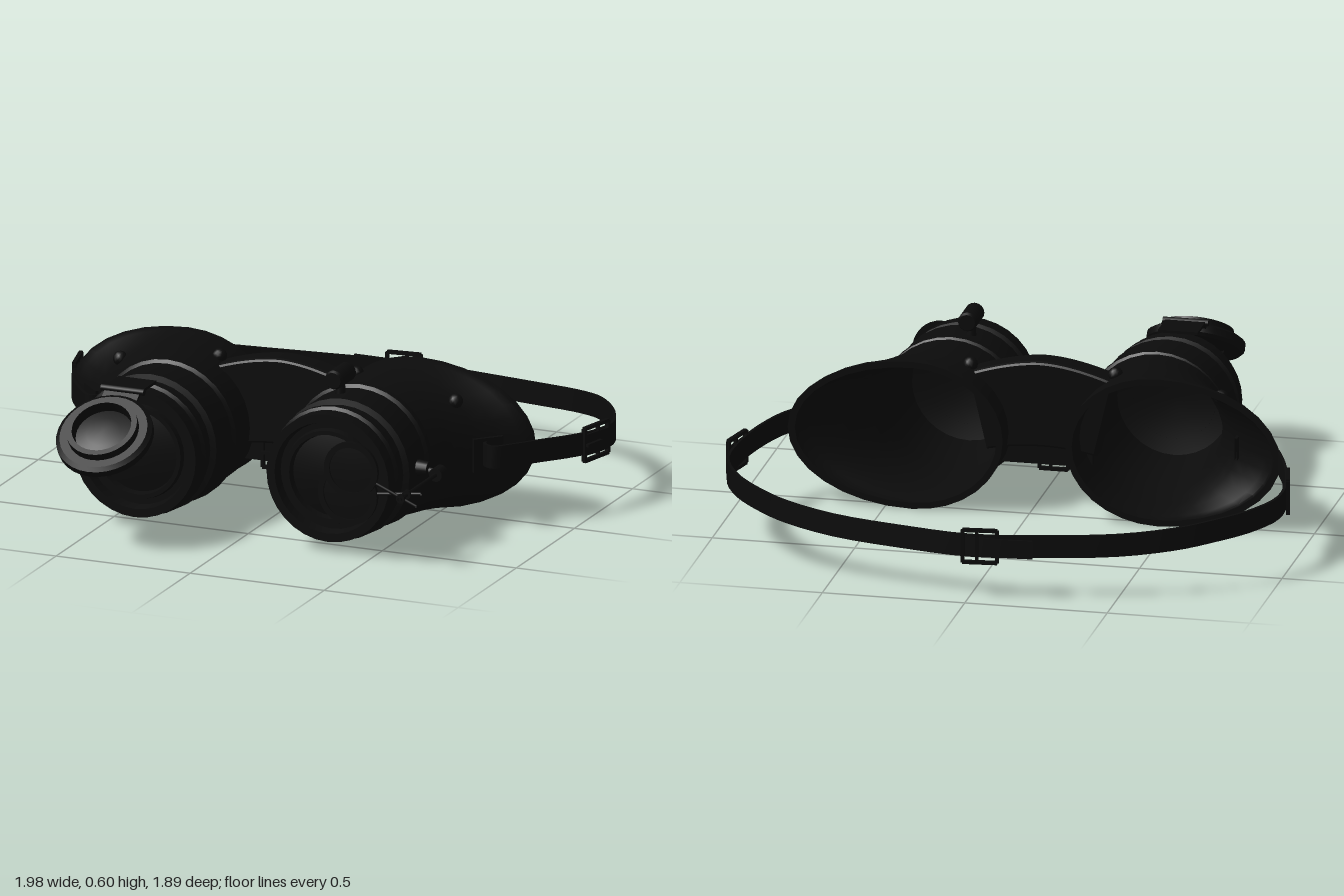
import * as THREE from 'three';
import { toCreasedNormals } from 'three/addons/utils/BufferGeometryUtils.js';

const black = new THREE.MeshStandardMaterial({ color: 0x0b0b0b, side: THREE.DoubleSide });
const V = (x, y, z) => new THREE.Vector3(x, y, z);
const CY = 0.272; // height of the eyepiece axes

function add(parent, name, geometry, x = 0, y = 0, z = 0) {
  const mesh = new THREE.Mesh(geometry, black);
  mesh.name = name;
  mesh.position.set(x, y, z);
  parent.add(mesh);
  return mesh;
}

function group(parent, name, x = 0, y = 0, z = 0) {
  const g = new THREE.Group();
  g.name = name;
  g.position.set(x, y, z);
  parent.add(g);
  return g;
}

// Skin over closed cross-sections, each running anticlockwise about the path
function loft(rings, crease = 0.6) {
  const n = rings[0].length, index = [];
  for (let i = 0; i < rings.length - 1; i++) {
    for (let j = 0; j < n; j++) {
      const k = (j + 1) % n, a = i * n + j, d = i * n + k;
      index.push(a, d, a + n, d, d + n, a + n);
    }
  }
  const g = new THREE.BufferGeometry().setFromPoints(rings.flat());
  g.setIndex(index);
  return toCreasedNormals(g, crease);
}

// Turned part along z from [radius, z] pairs
function turned(profile, sides = 32) {
  const g = new THREE.LatheGeometry(profile.map(([r, z]) => new THREE.Vector2(r, z)), sides);
  return toCreasedNormals(g.rotateX(Math.PI / 2), 0.5);
}

// Flat band of the given height following a path
function band(points, height, thick = 0.01, steps = 60) {
  const curve = new THREE.CatmullRomCurve3(points), up = V(0, 1, 0), rings = [];
  for (let i = 0; i <= steps; i++) {
    const p = curve.getPoint(i / steps), t = curve.getTangent(i / steps);
    const out = up.clone().cross(t).normalize();
    rings.push([[-1, -1], [1, -1], [1, 1], [-1, 1]].map(([n, u]) =>
      p.clone().addScaledVector(out, n * thick / 2).addScaledVector(up, u * height / 2)));
  }
  return loft(rings);
}

function rod(parent, name, a, b, r = 0.007) {
  return add(parent, name, new THREE.TubeGeometry(new THREE.LineCurve3(a, b), 1, r, 8));
}

// Rectangular wire buckle with a centre bar and prong, lying along local x
function buckle(parent, name, x, y, z, angle, w = 0.12, h = 0.115) {
  const g = group(parent, name, x, y, z);
  g.rotation.y = angle;
  for (const s of [-1, 1]) {
    add(g, 'buckleRail', new THREE.BoxGeometry(w, 0.012, 0.014), 0, s * h / 2, 0);
    add(g, 'buckleEnd', new THREE.BoxGeometry(0.012, h, 0.014), s * w / 2, 0, 0);
  }
  add(g, 'buckleBar', new THREE.BoxGeometry(0.01, h, 0.012), 0.01, 0, 0);
  add(g, 'buckleProng', new THREE.BoxGeometry(w * 0.6, 0.01, 0.012), -w * 0.2, 0, 0.012);
  return g;
}

// Egg-shaped section: z, inner reach, outer reach, half height, centre shift
function eggRing([z, inner, outer, h, c]) {
  return Array.from({ length: 32 }, (_, j) => {
    const a = j / 32 * Math.PI * 2, cos = Math.cos(a);
    return V(c + cos * (cos > 0 ? outer - c : inner + c), Math.sin(a) * h, z);
  });
}

function eyeCup(parent, side) {
  const cup = group(parent, side > 0 ? 'leftEyeCup' : 'rightEyeCup', side * 0.36 - 0.025, CY, 0);
  cup.scale.x = side;
  const outer = [
    [-0.04, 0.25, 0.505, 0.265, 0.07], [-0.02, 0.25, 0.495, 0.265, 0.07],
    [0.0, 0.25, 0.465, 0.262, 0.06], [0.05, 0.247, 0.40, 0.255, 0.045],
    [0.1, 0.246, 0.345, 0.253, 0.03], [0.15, 0.246, 0.31, 0.252, 0.02],
    [0.2, 0.246, 0.275, 0.25, 0.01], [0.3, 0.246, 0.25, 0.248, 0]];
  const inside = outer.map(([z, i, o, h, c]) => [z, i - 0.022, o - 0.025, h - 0.022, c]).reverse();
  add(cup, 'cupShell', loft([[0.54, 0.2, 0.2, 0.2, 0], ...inside, ...outer].map(eggRing)));

  // Stepped barrel with raised rings
  add(cup, 'barrel', turned([
    [0.244, 0.27], [0.256, 0.28], [0.256, 0.305], [0.245, 0.315], [0.245, 0.45], [0.224, 0.455],
    [0.224, 0.5], [0.238, 0.505], [0.238, 0.525], [0.228, 0.535], [0.228, 0.59],
    [0.198, 0.59], [0.19, 0.555], [0.17, 0.555], [0.165, 0.575], [0.15, 0.575], [0.145, 0.55]]));
  add(cup, 'lens', turned([[0.2, 0.54], [0.15, 0.55], [0.08, 0.56], [0, 0.563]]));

  // Rivets on the leather and the strap loop on the outer flank
  for (const [x, y, tilt] of [[0.265, 0.17, -0.75], [-0.105, 0.225, 0.4]]) {
    add(cup, 'rivet', new THREE.SphereGeometry(0.026, 12, 8), x, y, 0.1).rotation.z = tilt;
  }
  const plate = add(cup, 'strapPlate', new THREE.BoxGeometry(0.11, 0.12, 0.012), 0.38, -0.01, 0.085);
  plate.rotation.y = 0.8;
  // Side knob
  const knob = add(cup, 'sideKnob', new THREE.CylinderGeometry(0.026, 0.03, 0.045, 16), 0.26, 0.005, 0.37);
  knob.rotation.z = -Math.PI / 2;
  return cup;
}

// Framed loupe facing +z
function loupe(parent, name, x, y, z, r) {
  const g = group(parent, name, x, y, z);
  add(g, 'loupeFrame', turned([[r - 0.02, -0.007], [r, -0.007], [r, 0.007], [r - 0.02, 0.007], [r - 0.02, -0.007]]));
  add(g, 'loupeGlass', turned([[r - 0.015, 0], [0, 0.005]]));
  return g;
}

export function createModel() {
  const model = new THREE.Group();
  model.name = 'goggles';
  const left = eyeCup(model, 1);
  eyeCup(model, -1);

  // Arched nose bridge
  const arch = new THREE.Shape();
  arch.moveTo(-0.27, 0.47);
  arch.quadraticCurveTo(-0.13, 0.52, -0.025, 0.522);
  arch.quadraticCurveTo(0.08, 0.52, 0.22, 0.47);
  arch.lineTo(0.16, 0.215);
  arch.quadraticCurveTo(-0.025, 0.255, -0.21, 0.215);
  add(model, 'noseBridge', new THREE.ExtrudeGeometry(arch,
    { depth: 0.07, bevelSize: 0.01, bevelThickness: 0.015, bevelSegments: 2 }), 0, 0, 0.08);
  add(model, 'noseStrap', new THREE.BoxGeometry(0.34, 0.07, 0.014), -0.025, 0.185, 0.12);
  buckle(model, 'noseBuckle', -0.055, 0.185, 0.132, 0, 0.1, 0.11);

  // Head strap: half path mirrored to the other side
  const half = [[0.71, 0.27, 0.06], [0.715, 0.27, 0.115], [0.755, 0.27, 0.135], [0.8, 0.27, 0.09],
    [0.865, 0.268, 0], [0.925, 0.255, -0.13], [0.962, 0.24, -0.27], [0.965, 0.23, -0.41],
    [0.9, 0.226, -0.56], [0.8, 0.222, -0.68], [0.69, 0.21, -0.755], [0.5, 0.195, -0.825],
    [0.25, 0.188, -0.875]].map(p => V(...p));
  const mirrored = half.map(p => V(-p.x, p.y, p.z)).reverse();
  add(model, 'headStrap', band([...half, V(0, 0.186, -0.91), ...mirrored], 0.08, 0.01, 90));
  for (const s of [-1, 1]) {
    buckle(model, 'sideBuckle', s * 0.967, 0.243, -0.262, s > 0 ? 1.34 : Math.PI - 1.34, 0.135);
    add(model, 'strapTail', band([V(s * 0.955, 0.243, -0.2), V(s * 0.972, 0.24, -0.27),
      V(s * 0.986, 0.238, -0.33)], 0.075, 0.008, 6));
  }
  buckle(model, 'rearBuckle', -0.035, 0.188, -0.922, 0.1);
  add(model, 'rearTail', band([V(0.07, 0.186, -0.9), V(-0.06, 0.186, -0.922), V(-0.22, 0.188, -0.922)], 0.065, 0.008, 10));

  // Top knob on the left barrel, turned along z
  const top = group(model, 'topKnob', 0.29, 0.573, 0.375);
  add(top, 'knobGrip', turned([[0, -0.065], [0.028, -0.065], [0.034, -0.055], [0.034, 0.055], [0.028, 0.065], [0, 0.065]], 16));
  add(top, 'knobStem', new THREE.CylinderGeometry(0.014, 0.02, 0.08, 12), 0, -0.045, 0);

  // Swing-out loupes on a rod beside the left barrel
  const arm = group(model, 'loupeArm');
  rod(arm, 'pivotRod', V(0.65, 0.265, 0.34), V(0.65, 0.265, 0.7));
  add(arm, 'rodCollar', turned([[0, -0.025], [0.024, -0.025], [0.024, 0.025], [0, 0.025]], 16), 0.65, 0.265, 0.365);
  rod(arm, 'rodMount', V(0.57, 0.272, 0.365), V(0.66, 0.265, 0.365), 0.014);
  for (const [x, y, z, r, tip] of [[0.43, 0.24, 0.632, 0.11, 0.7], [0.465, 0.345, 0.685, 0.1, 0.71]]) {
    loupe(arm, 'sideLoupe', x, y, z, r);
    const pivot = V(0.65, 0.265, z - 0.004), dir = V(x, y, z).sub(pivot).normalize();
    rod(arm, 'loupeHandle', V(x, y, z).addScaledVector(dir, -r + 0.01), pivot.clone().addScaledVector(dir, -(tip - 0.65)), 0.006);
    add(arm, 'pivotNut', turned([[0, -0.008], [0.016, -0.008], [0.016, 0.008], [0, 0.008]], 12), 0.65, 0.265, z);
  }

  // Raised flip-up loupe hinged over the right barrel
  const hinge = group(model, 'flipHinge', -0.4, 0, 0);
  add(hinge, 'hingeLeaf', new THREE.BoxGeometry(0.14, 0.01, 0.13), 0, 0.518, 0.595);
  const pin = add(hinge, 'hingePin', new THREE.CylinderGeometry(0.012, 0.012, 0.16, 12), 0, 0.517, 0.655);
  pin.rotation.z = Math.PI / 2;
  const lug = add(hinge, 'hingeLug', new THREE.BoxGeometry(0.13, 0.01, 0.1), 0, 0.487, 0.69);
  lug.rotation.x = 0.62;
  const flip = group(model, 'flipLoupe', -0.4, 0.385, 0.803);
  flip.rotation.x = -0.96;
  add(flip, 'flipFrame', turned([[0.1, -0.01], [0.16, -0.01], [0.17, 0], [0.17, 0.025], [0.155, 0.035],
    [0.125, 0.035], [0.125, 0.065], [0.105, 0.065], [0.1, 0.03], [0.1, -0.01]]));
  add(flip, 'flipGlass', turned([[0.105, 0.025], [0.06, 0.035], [0, 0.04]]));
  add(flip, 'flipGlassBack', turned([[0, 0], [0.105, 0]]));
  return model;
}
